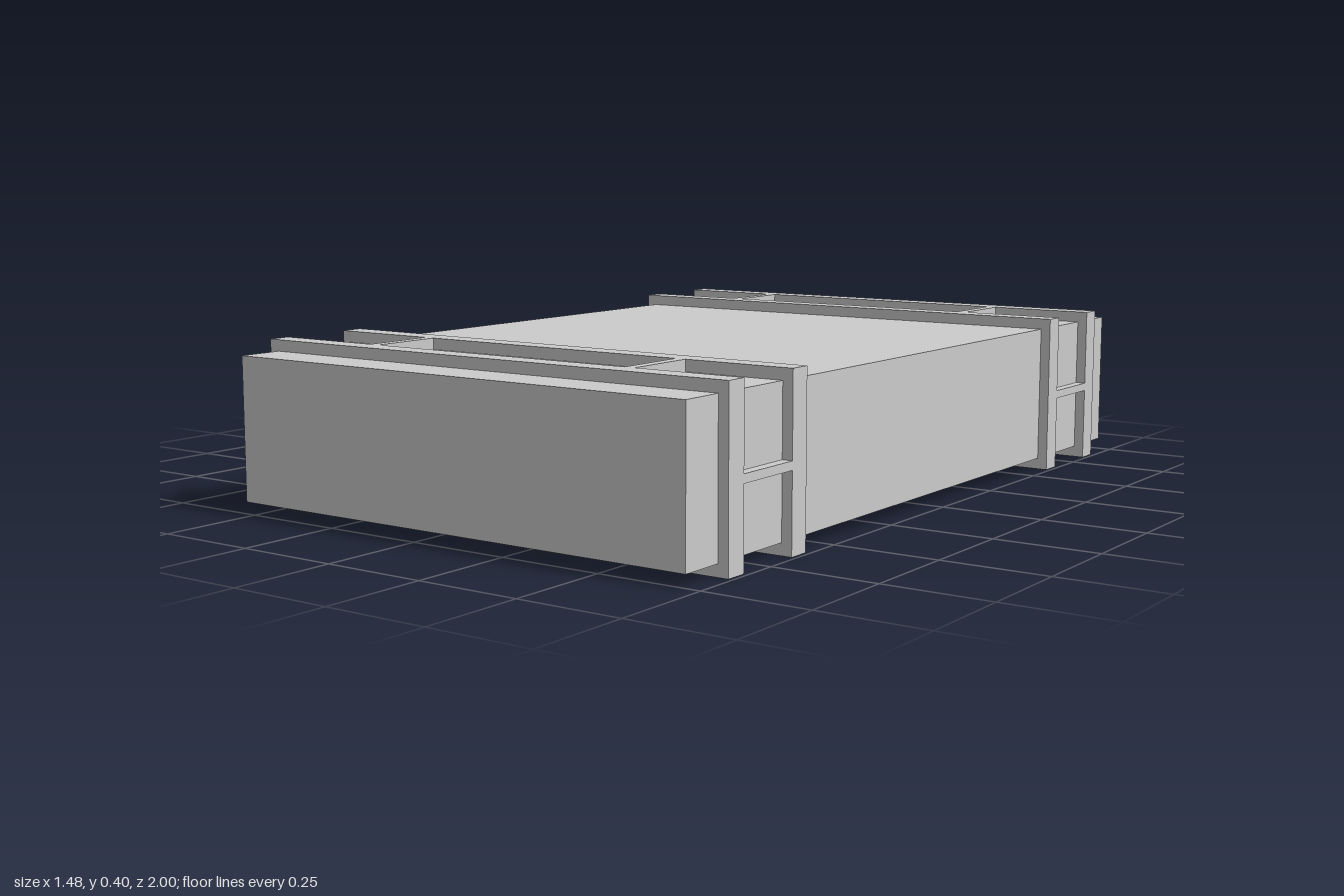
import * as THREE from 'three';

const material = new THREE.MeshStandardMaterial({ color: 0xcccccc });

// Box given by its lower and upper limits on each axis
function box(name, [x0, x1], [y0, y1], [z0, z1]) {
  const mesh = new THREE.Mesh(new THREE.BoxGeometry(x1 - x0, y1 - y0, z1 - z0), material);
  mesh.name = name;
  mesh.position.set((x0 + x1) / 2, (y0 + y1) / 2, (z0 + z1) / 2);
  return mesh;
}

// Rectangular hoop that wraps around the case
function hoop(z0, z1) {
  const rect = (target, x0, x1, y0, y1) =>
    target.moveTo(x0, y0).lineTo(x1, y0).lineTo(x1, y1).lineTo(x0, y1).closePath();
  const shape = new THREE.Shape();
  rect(shape, -0.55, 0.74, 0, 0.395);
  const hole = new THREE.Path();
  rect(hole, -0.525, 0.715, 0.028, 0.368);
  shape.holes.push(hole);
  const geometry = new THREE.ExtrudeGeometry(shape, { depth: z1 - z0, bevelEnabled: false });
  const mesh = new THREE.Mesh(geometry, material);
  mesh.name = 'rail';
  mesh.position.z = z0;
  return mesh;
}

// Two rails joined by short ribs on all four sides
function band(side) {
  const group = new THREE.Group();
  group.name = side > 0 ? 'frontBand' : 'backBand';
  const span = (a, b) => (side > 0 ? [a, b] : [-b, -a]);
  group.add(hoop(...span(0.6, 0.655)), hoop(...span(0.835, 0.89)));
  const z = span(0.655, 0.835);
  for (const x of [[-0.28, -0.254], [0.445, 0.471]]) {
    group.add(box('topRib', x, [0.36, 0.395], z));
    group.add(box('bottomRib', x, [0, 0.036], z));
  }
  for (const x of [[-0.55, -0.515], [0.705, 0.74]]) {
    group.add(box('sideRib', x, [0.183, 0.203], z));
  }
  return group;
}

// Round carrying handle with faceted bends
function handle() {
  const half = [[-0.5, 0.455], [-0.597, 0.452], [-0.652, 0.42], [-0.68, 0.365]];
  const points = [
    ...half.map(([x, z]) => new THREE.Vector3(x, 0.2, -z)),
    ...half.reverse().map(([x, z]) => new THREE.Vector3(x, 0.2, z)),
  ];
  const curve = new THREE.CatmullRomCurve3(points);
  // Place one ring at each control point
  curve.getPointAt = (t, target) => curve.getPoint(t, target);
  curve.getTangentAt = (t, target) => curve.getTangent(t, target);
  const mesh = new THREE.Mesh(new THREE.TubeGeometry(curve, points.length - 1, 0.061, 20), material);
  mesh.name = 'handle';
  return mesh;
}

export function createModel() {
  const model = new THREE.Group();
  model.name = 'carryingCase';
  model.add(box('body', [-0.525, 0.715], [0.028, 0.368], [-1, 1]));
  model.add(band(1), band(-1), handle());
  return model;
}
